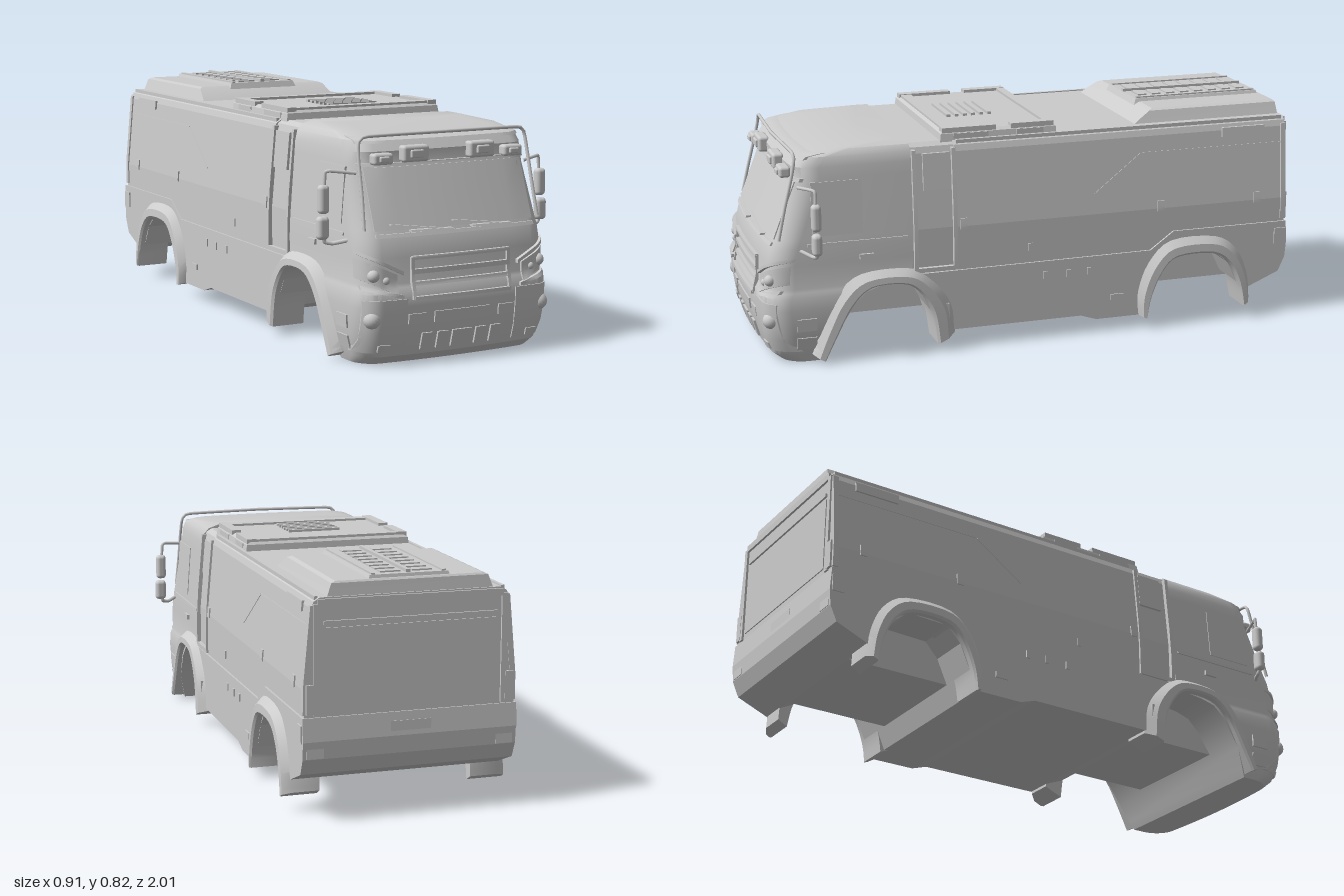
import * as THREE from 'three';
import { toCreasedNormals } from 'three/addons/utils/BufferGeometryUtils.js';
import { RoundedBoxGeometry } from 'three/addons/geometries/RoundedBoxGeometry.js';

const V = (x, y, z) => new THREE.Vector3(x, y, z);
const lerp = THREE.MathUtils.lerp;

// Cab sections from bottom to top: height, front z, rear z, half width
const CAB = [
  [0, 0.93, 0.78, 0.345], [0.03, 0.965, 0.765, 0.355], [0.1, 0.985, 0.735, 0.372],
  [0.2, 0.995, 0.67, 0.377], [0.245, 0.992, 0.625, 0.375], [0.262, 0.982, 0.57, 0.37],
  [0.275, 0.978, 0.46, 0.367], [0.36, 0.976, 0.45, 0.366], [0.42, 0.963, 0.45, 0.364],
  [0.45, 0.95, 0.45, 0.362], [0.66, 0.876, 0.45, 0.346], [0.7, 0.878, 0.45, 0.343],
  [0.735, 0.855, 0.45, 0.335], [0.755, 0.77, 0.45, 0.318], [0.768, 0.6, 0.45, 0.28],
];
const RX = 0.07, RZ = 0.08, BOW = 0.02;

function cabAt(y) {
  let i = 0;
  while (i < CAB.length - 2 && CAB[i + 1][0] < y) i++;
  const t = THREE.MathUtils.clamp((y - CAB[i][0]) / (CAB[i + 1][0] - CAB[i][0]), 0, 1);
  return CAB[i].map((v, k) => lerp(v, CAB[i + 1][k], t));
}
// Curved front surface of the cab
function frontZ(x, y) {
  const [, zf, , w] = cabAt(y);
  const t = Math.min(1, Math.max(0, (Math.abs(x) - w + RX) / RX));
  return zf - BOW * (x / w) ** 2 - RZ * (1 - Math.sqrt(1 - t * t));
}
// Side surface leans inwards above the waist
const sideX = y => (y < 0.45 ? 0.365 : lerp(0.365, 0.34, (y - 0.45) / 0.27));

// Closed solid through rings of equal point count
function loft(rings, crease = 0.6) {
  const n = rings[0].length, tris = [];
  for (let i = 0; i < rings.length - 1; i++) for (let j = 0; j < n; j++) {
    const k = (j + 1) % n, a = rings[i], b = rings[i + 1];
    tris.push([a[j], a[k], b[k]], [a[j], b[k], b[j]]);
  }
  const cap = (r, flip) => {
    const c = r.reduce((s, p) => s.add(p), V(0, 0, 0)).divideScalar(n);
    r.forEach((p, j) => { const q = r[(j + 1) % n]; tris.push(flip ? [c, q, p] : [c, p, q]); });
  };
  cap(rings[0], true);
  cap(rings[rings.length - 1], false);
  const volume = tris.reduce((s, [a, b, c]) => s + a.dot(b.clone().cross(c)), 0);
  const pts = tris.flatMap(([a, b, c]) => (volume < 0 ? [a, c, b] : [a, b, c]));
  return toCreasedNormals(new THREE.BufferGeometry().setFromPoints(pts), crease);
}
// Move every vertex by a rule, then rebuild the normals
function bend(geo, rule) {
  const p = geo.attributes.position, v = V(0, 0, 0);
  for (let i = 0; i < p.count; i++) {
    rule(v.fromBufferAttribute(p, i));
    p.setXYZ(i, v.x, v.y, v.z);
  }
  return toCreasedNormals(geo, 0.5);
}
const shapeOf = pts => new THREE.Shape(pts.map(([a, b]) => new THREE.Vector2(a, b)));

export function createModel() {
  const model = new THREE.Group();
  const grey = new THREE.MeshStandardMaterial({ color: 0xcccccc });
  const add = (name, geo, x = 0, y = 0, z = 0) => {
    const m = new THREE.Mesh(geo, grey);
    m.name = name;
    m.position.set(x, y, z);
    model.add(m);
    return m;
  };
  const box = (name, x, y, z, w, h, d) => add(name, new THREE.BoxGeometry(w, h, d), x, y, z);
  const tube = (name, pts, r, tension = 0.2) => add(name, new THREE.TubeGeometry(
    new THREE.CatmullRomCurve3(pts.map(p => V(...p)), false, 'catmullrom', tension), 32, r, 8));
  // Thin plate that follows the cab front; skew raises its outer end
  const frontPanel = (name, x, y, w, h, out = 0.006, skew = 0) =>
    add(name, bend(new THREE.BoxGeometry(w, h, 0.02, 14, 4, 1), v => {
      v.y += y + v.x * skew;
      v.x += x;
      v.z += frontZ(v.x, v.y) + out - 0.01;
    }));
  // Thin plate on both flanks
  const sidePanel = (name, z, y, len, h, out = 0.005, slope = 0, base = sideX) => {
    for (const s of [1, -1]) add(name, bend(new THREE.BoxGeometry(0.02, h, len, 1, 4, 1), v => {
      v.y += y + v.z * slope;
      v.z += z;
      v.x += s * (base(v.y) + out - 0.01);
    }));
  };

  // Cab and bumper in one shell; its rear edge forms the front of the wheel arch
  add('cab', loft(CAB.map(([y, zf, zr, w]) => {
    const xs = [];
    for (let i = 0; i <= 8; i++) xs.push(-w + RX * (1 - Math.cos((i / 8) * Math.PI / 2)));
    for (let i = 1; i < 8; i++) xs.push(lerp(-w + RX, w - RX, i / 8));
    for (let i = 8; i >= 0; i--) xs.push(w - RX * (1 - Math.cos((i / 8) * Math.PI / 2)));
    return [V(-w, y, zr), ...xs.map(x => V(x, y, frontZ(x, y))), V(w, y, zr)];
  }), 0.5));

  // Box body: cross-section drawn out along z
  const half = [[0.365, 0.27], [0.365, 0.45], [0.34, 0.72], [0.333, 0.742], [0.312, 0.755]];
  const section = k => shapeOf([...half.map(([x, y]) => [x * k, y]),
    ...half.slice().reverse().map(([x, y]) => [-x * k, y])]);
  const alongZ = (name, k, z0, z1) => add(name, new THREE.ExtrudeGeometry(section(k),
    { depth: z1 - z0, bevelEnabled: false }), 0, 0, z0);
  alongZ('boxBody', 1, -0.99, 0.29);
  alongZ('neck', 0.98, 0.28, 0.46);

  // Lower body with rear wheel arch: side outline drawn out along x
  const lower = [[0.46, 0.29], [0.46, 0.262], [0.43, 0.23], [0.39, 0.15], [0.375, 0.1], [0.3, 0.07],
    [-0.18, 0.07], [-0.24, 0.05], [-0.42, 0.05], [-0.45, 0.12], [-0.49, 0.21], [-0.54, 0.265],
    [-0.7, 0.27], [-0.76, 0.22], [-0.8, 0.14], [-0.85, 0.115], [-0.97, 0.165], [-0.995, 0.22],
    [-1, 0.28], [-0.995, 0.36], [-0.54, 0.36], [-0.45, 0.295]];
  const lowerGeo = new THREE.ExtrudeGeometry(shapeOf(lower.map(([z, y]) => [-z, y])),
    { depth: 0.744, bevelEnabled: false });
  lowerGeo.translate(0, 0, -0.372).rotateY(Math.PI / 2);
  add('lowerBody', lowerGeo);
  box('chassisFloor', 0, 0.2, -0.04, 0.44, 0.16, 1.64);

  // Wheel arch flares, lofted between an inner and an outer curve
  const flare = (name, inner, outer) => {
    const curve = pts => new THREE.SplineCurve(pts.map(p => new THREE.Vector2(...p))).getPoints(28);
    const a = curve(inner), b = curve(outer);
    for (const s of [1, -1]) add(name, loft(a.map((p, i) => {
      const q = b[i], m = p.clone().lerp(q, 0.55);
      return [[p, 0.27], [p, 0.392], [p.clone().lerp(q, 0.12), 0.4], [m, 0.398], [q, 0.367], [q, 0.27]]
        .map(([c, x]) => V(s * x, c.y, c.x));
    })));
  };
  flare('frontWheelArch',
    [[0.78, 0.01], [0.735, 0.1], [0.68, 0.2], [0.61, 0.262], [0.5, 0.267], [0.44, 0.235], [0.39, 0.15], [0.37, 0.03]],
    [[0.82, 0.03], [0.79, 0.12], [0.73, 0.24], [0.64, 0.31], [0.47, 0.315], [0.38, 0.265], [0.31, 0.17], [0.3, 0.06]]);
  flare('rearWheelArch',
    [[-0.435, 0.04], [-0.45, 0.12], [-0.49, 0.21], [-0.55, 0.265], [-0.69, 0.267], [-0.76, 0.22], [-0.8, 0.14], [-0.82, 0.05]],
    [[-0.405, 0.05], [-0.4, 0.14], [-0.44, 0.25], [-0.53, 0.33], [-0.71, 0.33], [-0.8, 0.27], [-0.845, 0.17], [-0.855, 0.07]]);

  // Windscreen, surround and wipers
  frontPanel('windscreen', 0, 0.548, 0.62, 0.2, 0.004);
  frontPanel('windscreenTopBar', 0, 0.656, 0.66, 0.012, 0.014);
  frontPanel('windscreenSill', 0, 0.432, 0.62, 0.012, 0.007);
  for (const x of [-0.155, 0.08]) {
    frontPanel('wiper', x, 0.455, 0.2, 0.005, 0.014, -0.12);
    frontPanel('wiperArm', x + 0.05, 0.443, 0.16, 0.007, 0.018, -0.02);
  }

  // Sun visor, spot lamps and guard tubes
  frontPanel('sunVisor', 0, 0.735, 0.64, 0.02, 0.012);
  for (const s of [1, -1]) {
    for (const [x, y, w, h] of [[0.13, 0.69, 0.1, 0.055], [0.255, 0.678, 0.075, 0.038]]) {
      add('spotLamp', new RoundedBoxGeometry(w, h, 0.04, 3, 0.01), s * x, y, 0.885);
      add('spotLampLens', new RoundedBoxGeometry(w * 0.5, h * 0.5, 0.02, 2, 0.005), s * x, y, 0.903);
    }
    tube('guardTube', [[s * 0.342, 0.45, 0.925], [s * 0.336, 0.56, 0.9], [s * 0.333, 0.67, 0.872], [s * 0.328, 0.73, 0.86], [s * 0.3, 0.752, 0.862], [0, 0.755, 0.875]], 0.006);
    // Mirrors on bent arms
    add('upperMirror', new RoundedBoxGeometry(0.038, 0.096, 0.034, 4, 0.014), s * 0.431, 0.547, 0.81);
    add('lowerMirror', new RoundedBoxGeometry(0.042, 0.077, 0.034, 4, 0.014), s * 0.434, 0.452, 0.81);
    tube('upperMirrorArm', [[s * 0.33, 0.632, 0.85], [s * 0.41, 0.641, 0.82], [s * 0.424, 0.635, 0.81], [s * 0.428, 0.58, 0.81]], 0.006);
    tube('lowerMirrorArm', [[s * 0.35, 0.415, 0.86], [s * 0.4, 0.4, 0.82], [s * 0.425, 0.405, 0.81], [s * 0.434, 0.43, 0.81]], 0.007);
    // Headlamps and bumper corners
    frontPanel('headlampHousing', s * 0.305, 0.3, 0.12, 0.066, 0.008, s * 0.45);
    frontPanel('headlampBrow', s * 0.295, 0.345, 0.14, 0.012, 0.014, s * 0.5);
    frontPanel('headlampSill', s * 0.295, 0.25, 0.13, 0.012, 0.012, s * 0.25);
    for (const [x, y, r] of [[0.325, 0.305, 0.021], [0.285, 0.288, 0.014]]) {
      add('headlamp', new THREE.SphereGeometry(r, 20, 12), s * x, y, frontZ(x, y) + 0.002);
    }
    frontPanel('bumperCorner', s * 0.288, 0.135, 0.15, 0.18, 0.005);
    add('fogLamp', new THREE.SphereGeometry(0.03, 20, 12), s * 0.33, 0.16, frontZ(0.33, 0.16) - 0.012);
    frontPanel('lowerLamp', s * 0.29, 0.062, 0.045, 0.024, 0.011);
    frontPanel('bumperVent', s * 0.175, 0.156, 0.065, 0.034);
    for (const x of [0.135, 0.075]) frontPanel('bumperSlot', s * x, 0.075, 0.04, 0.058, 0.008);
    frontPanel('grilleSide', s * 0.188, 0.29, 0.012, 0.14, 0.01);
  }
  for (const [y, h] of [[0.357, 0.012], [0.312, 0.016], [0.272, 0.014], [0.225, 0.012]]) {
    frontPanel('grilleBar', 0, y, 0.38, h, 0.012);
  }
  frontPanel('numberPlate', 0, 0.156, 0.22, 0.038);
  frontPanel('centreSlot', 0, 0.075, 0.075, 0.058, 0.008);

  // Flank details on the cab
  const cabX = y => cabAt(y)[3];
  sidePanel('sideWindow', 0.72, 0.555, 0.18, 0.19, 0.003, 0, cabX);
  sidePanel('doorRail', 0.65, 0.43, 0.36, 0.01, 0.005, 0, cabX);
  sidePanel('doorHandle', 0.62, 0.375, 0.05, 0.018, 0.009, 0, cabX);
  for (const y of [0.075, 0.145]) sidePanel('cabStep', 0.84, y, 0.07, 0.045, 0.006, 0, cabX);

  // Framed bay between cab and box
  for (const z of [0.44, 0.295]) sidePanel('bayPost', z, 0.515, 0.014, 0.44, 0.008);
  sidePanel('bayFoot', 0.367, 0.302, 0.15, 0.016, 0.008);
  sidePanel('bayWindow', 0.357, 0.655, 0.1, 0.13, 0.003);
  sidePanel('bayStep', 0.345, 0.135, 0.04, 0.08, 0.022);

  // Flank details on the box
  for (const z of [0.265, -0.49, -0.875]) sidePanel('sideMarker', z, 0.46, 0.026, 0.04);
  sidePanel('sideLatch', 0.015, 0.35, 0.016, 0.03);
  for (const z of [-0.04, -0.13, -0.21]) sidePanel('skirtLatch', z, 0.24, 0.016, 0.028, 0.012);
  sidePanel('skirtHatch', -0.32, 0.13, 0.05, 0.022, 0.012);
  sidePanel('sideVent', -0.82, 0.713, 0.17, 0.035, 0.007);
  sidePanel('sideCrease', -0.32, 0.59, 0.18, 0.005, 0.002, -0.75);
  sidePanel('sideSeam', -0.7, 0.66, 0.57, 0.005, 0.002);
  sidePanel('rearPost', -0.982, 0.55, 0.02, 0.36, 0.005);
  sidePanel('tailLamp', -0.97, 0.305, 0.045, 0.06, 0.012);

  // Flat topped roof blocks: rows of height, front z, rear z, half width
  const block = (name, rows) => add(name, loft(rows.map(([y, zf, zr, w]) =>
    [V(-w, y, zr), V(-w, y, zf), V(w, y, zf), V(w, y, zr)]), 0.3));
  block('roofUnit', [[0.745, 0.335, -0.1, 0.315], [0.778, 0.33, -0.098, 0.31], [0.787, 0.32, -0.09, 0.295]]);
  for (const s of [1, -1]) {
    for (const [z, l] of [[0.225, 0.2], [-0.01, 0.16]]) box('roofUnitRail', s * 0.29, 0.78, z, 0.035, 0.035, l);
    for (const [z, l] of [[0.22, 0.13], [0, 0.1]]) box('roofUnitVent', s * 0.304, 0.768, z, 0.02, 0.018, l);
  }
  box('roofUnitLip', 0, 0.785, -0.075, 0.6, 0.022, 0.03);
  box('roofUnitFrontLip', 0, 0.785, 0.3, 0.58, 0.02, 0.04);
  for (let i = 0; i < 6; i++) box('roofSlat', 0, 0.79, 0.085 + i * 0.031, 0.2, 0.012, 0.014);

  // Rear roof hatch with louvres
  block('rearRoof', [[0.745, -0.4, -0.985, 0.29], [0.765, -0.425, -0.983, 0.282], [0.797, -0.475, -0.98, 0.27], [0.803, -0.49, -0.975, 0.255]]);
  block('roofHatch', [[0.79, -0.465, -0.97, 0.145], [0.814, -0.475, -0.965, 0.135]]);
  box('hatchSpine', 0, 0.814, -0.715, 0.014, 0.02, 0.48);
  for (const s of [1, -1]) {
    box('hatchEdge', s * 0.122, 0.812, -0.72, 0.014, 0.014, 0.48);
    for (let i = 0; i < 8; i++) box('hatchLouvre', s * 0.055, 0.813, -0.52 - i * 0.057, 0.07, 0.012, 0.034);
    box('roofGutter', s * 0.322, 0.75, -0.35, 0.012, 0.016, 1.26);
    // Rear corner frame and lamps
    box('rearFrame', s * 0.325, 0.55, -0.99, 0.02, 0.37, 0.016);
    box('rearLamp', s * 0.345, 0.42, -0.99, 0.03, 0.1, 0.018);
    box('rearLowLamp', s * 0.33, 0.24, -0.99, 0.06, 0.035, 0.016);
  }

  // Tailgate
  box('rearTopRail', 0, 0.738, -0.99, 0.64, 0.024, 0.016);
  box('tailgate', 0, 0.52, -0.988, 0.6, 0.27, 0.012);
  box('tailgateRail', 0, 0.672, -0.99, 0.6, 0.012, 0.014);
  box('rearPlate', 0, 0.305, -0.992, 0.14, 0.05, 0.014);

  return model;
}
